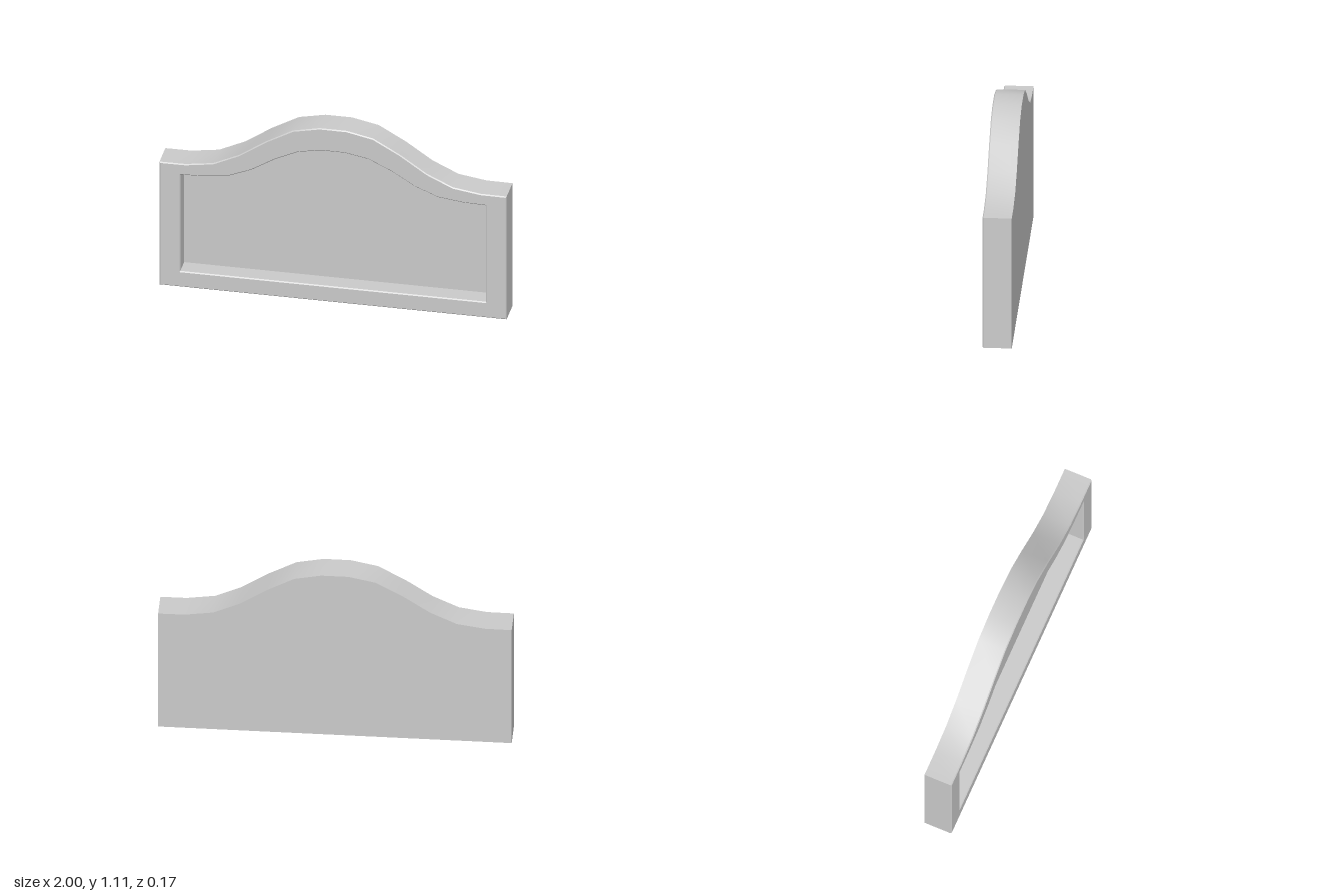
import * as THREE from 'three';
import { toCreasedNormals } from 'three/addons/utils/BufferGeometryUtils.js';

const FRONT = 0.083, BACK = -0.083, FLOOR = -0.027, BEVEL = 0.006;

// Right half of the two arched outlines, from the side edge to the crown
const OUTER = [[1, 0.79], [0.85, 0.791], [0.69, 0.815], [0.54, 0.885], [0.385, 0.99], [0.23, 1.077], [0.077, 1.109]];
const INNER = [[0.88, 0.72], [0.75, 0.724], [0.607, 0.742], [0.473, 0.796], [0.336, 0.88], [0.203, 0.942], [0.068, 0.967]];

// Closed counter-clockwise outline; grow pushes the edges outwards
function outline(half, bottom, grow = 0) {
  const side = half[0][0] + grow;
  const right = half.map(([x, y], i) => new THREE.Vector2(i ? x : side, y + grow));
  const left = right.map((p) => new THREE.Vector2(-p.x, p.y)).reverse();
  return [new THREE.Vector2(-side, bottom - grow), new THREE.Vector2(side, bottom - grow), ...right, ...left];
}

// Skin a series of matching outlines, each at its own depth
function skin(rings) {
  const pos = [];
  for (let r = 0; r < rings.length - 1; r++) {
    const [a, za] = rings[r], [b, zb] = rings[r + 1];
    for (let i = 0; i < a.length; i++) {
      const j = (i + 1) % a.length;
      const A = [a[i].x, a[i].y, za], B = [a[j].x, a[j].y, za];
      const C = [b[j].x, b[j].y, zb], D = [b[i].x, b[i].y, zb];
      pos.push(...A, ...B, ...C, ...A, ...C, ...D);
    }
  }
  const geo = new THREE.BufferGeometry();
  geo.setAttribute('position', new THREE.Float32BufferAttribute(pos, 3));
  return toCreasedNormals(geo, 0.4);
}

export function createModel() {
  const group = new THREE.Group();
  group.name = 'headboard';
  const material = new THREE.MeshStandardMaterial({ color: 0xcccccc });
  const add = (name, geometry) => {
    const mesh = new THREE.Mesh(geometry, material);
    mesh.name = name;
    group.add(mesh);
  };

  const outer = outline(OUTER, 0), inner = outline(INNER, 0.1);

  // Outer sides, bevelled face border and walls of the recess
  add('frame', skin([
    [outer, BACK],
    [outer, FRONT - BEVEL],
    [outline(OUTER, 0, -BEVEL), FRONT],
    [outline(INNER, 0.1, BEVEL), FRONT],
    [inner, FRONT - BEVEL],
    [inner, FLOOR],
  ]));

  // Flat panel at the bottom of the recess
  add('recessedPanel', new THREE.ShapeGeometry(new THREE.Shape(inner)).translate(0, 0, FLOOR));

  // Plain back
  add('backPanel', new THREE.ShapeGeometry(new THREE.Shape(outer)).rotateY(Math.PI).translate(0, 0, BACK));

  return group;
}
